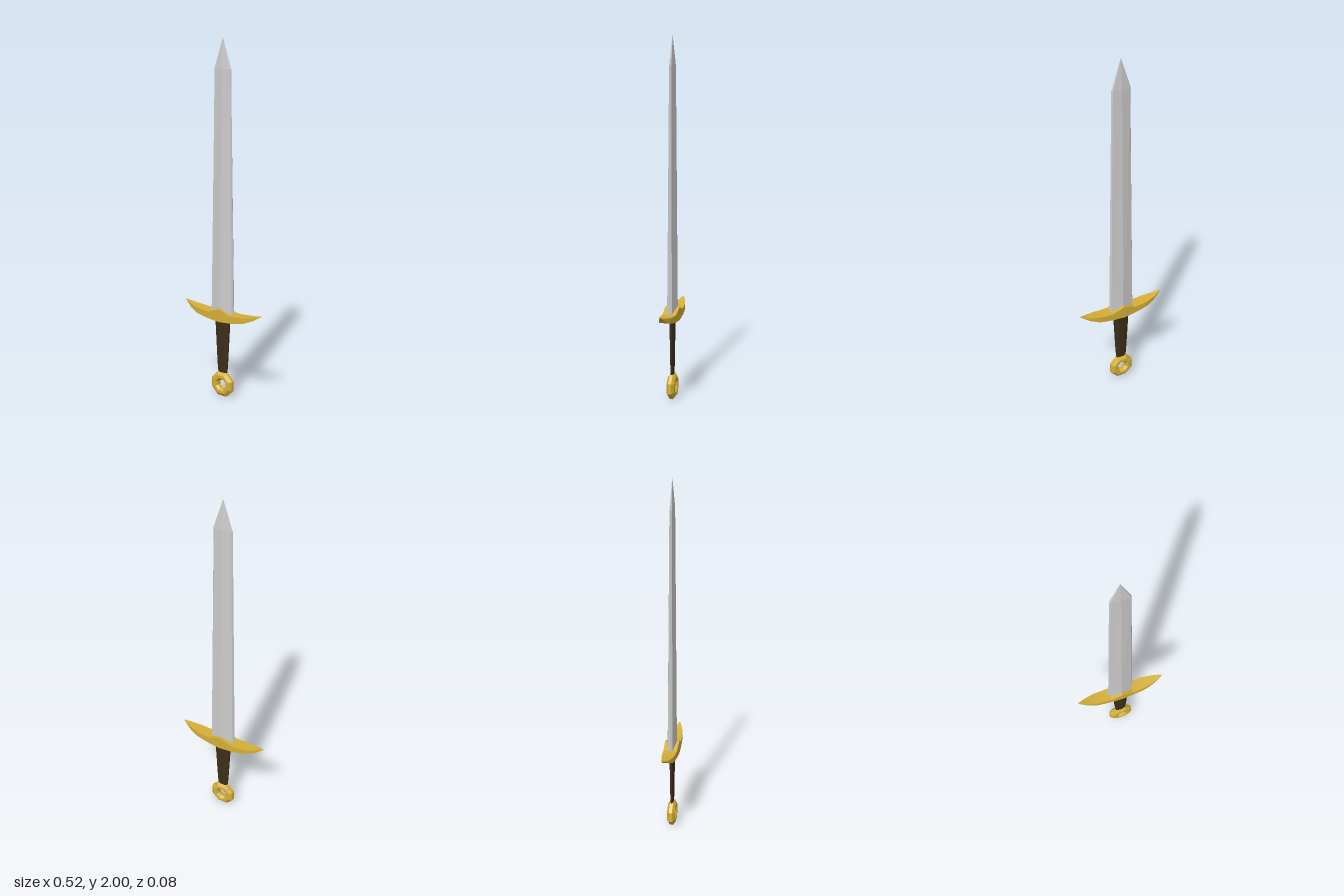
import * as THREE from 'three';

// Skin a list of equal-length rings (arrays of [x, y, z]) and cap both ends
function loft(rings) {
  const pos = [], n = rings[0].length, last = rings.length - 1;
  const tri = (a, b, c) => pos.push(...a, ...b, ...c);
  for (let i = 0; i < last; i++) {
    for (let j = 0; j < n; j++) {
      const k = (j + 1) % n;
      const a = rings[i][j], b = rings[i][k], c = rings[i + 1][k], d = rings[i + 1][j];
      tri(a, b, c);
      tri(a, c, d);
    }
  }
  for (let j = 1; j < n - 1; j++) {
    tri(rings[0][0], rings[0][j + 1], rings[0][j]);
    tri(rings[last][0], rings[last][j], rings[last][j + 1]);
  }
  const geo = new THREE.BufferGeometry();
  geo.setAttribute('position', new THREE.Float32BufferAttribute(pos, 3));
  geo.computeVertexNormals();
  return geo;
}

function part(name, geo, color) {
  const mesh = new THREE.Mesh(geo, new THREE.MeshStandardMaterial({ color, flatShading: true }));
  mesh.name = name;
  return mesh;
}

export function createModel() {
  const sword = new THREE.Group();
  sword.name = 'sword';
  const gold = 0xd4af37;

  // Blade: ridged section with bevelled edges; [y, half width, half thickness]
  const bladeRing = ([y, w, t]) => [
    [w, 0], [w * 0.9, -t * 0.5], [0, -t], [-w * 0.9, -t * 0.5],
    [-w, 0], [-w * 0.9, t * 0.5], [0, t], [w * 0.9, t * 0.5],
  ].map(([x, z]) => [x, y, z]);
  const blade = [[0.47, 0.077, 0.027], [1.84, 0.055, 0.013], [2, 0.0008, 0.0008]];
  sword.add(part('blade', loft(blade.map(bladeRing)), 0xcccccc));

  // Crossguard: curved, pointed wings; [x, bottom, top, half depth]
  const wing = [
    [0.07, 0.455, 0.496, 0.038], [0.115, 0.461, 0.497, 0.036],
    [0.16, 0.47, 0.502, 0.033], [0.215, 0.493, 0.511, 0.021], [0.262, 0.522, 0.525, 0.003],
  ];
  const guard = [
    ...wing.map(([x, ...rest]) => [-x, ...rest]).reverse(),
    [0, 0.45, 0.525, 0.041],
    ...wing,
  ];
  const guardRing = ([x, b, t, d]) => [[x, b, -d], [x, t, -d], [x, t, d], [x, b, d]];
  sword.add(part('crossguard', loft(guard.map(guardRing)), gold));

  // Grip: flattened octagonal taper; [y, half width, half thickness]
  const gripRing = ([y, w, t]) => Array.from({ length: 8 }, (_, i) => {
    const a = (i + 0.5) * Math.PI / 4, s = Math.cos(Math.PI / 8);
    return [Math.cos(a) * w / s, y, -Math.sin(a) * t / s];
  });
  const grip = [[0.125, 0.022, 0.007], [0.15, 0.031, 0.009], [0.22, 0.036, 0.01], [0.46, 0.049, 0.013]];
  sword.add(part('grip', loft(grip.map(gripRing)), 0x3d2e1a));

  // Pommel: eight-sided ring; [radius to flat, z], closed profile
  const profile = [
    [0.07, -0.009], [0.07, 0.009], [0.053, 0.022], [0.037, 0.022],
    [0.025, 0.009], [0.025, -0.009], [0.037, -0.022], [0.053, -0.022], [0.07, -0.009],
  ].map(([r, z]) => new THREE.Vector2(r / Math.cos(Math.PI / 8), z));
  const ring = new THREE.LatheGeometry(profile, 8, Math.PI / 8);
  ring.rotateX(Math.PI / 2);
  const pommel = part('pommel', ring, gold);
  pommel.position.y = 0.07;
  sword.add(pommel);

  // The whole sword is turned slightly about its length
  sword.rotation.y = -0.056;
  const model = new THREE.Group();
  model.name = 'model';
  model.add(sword);
  return model;
}
